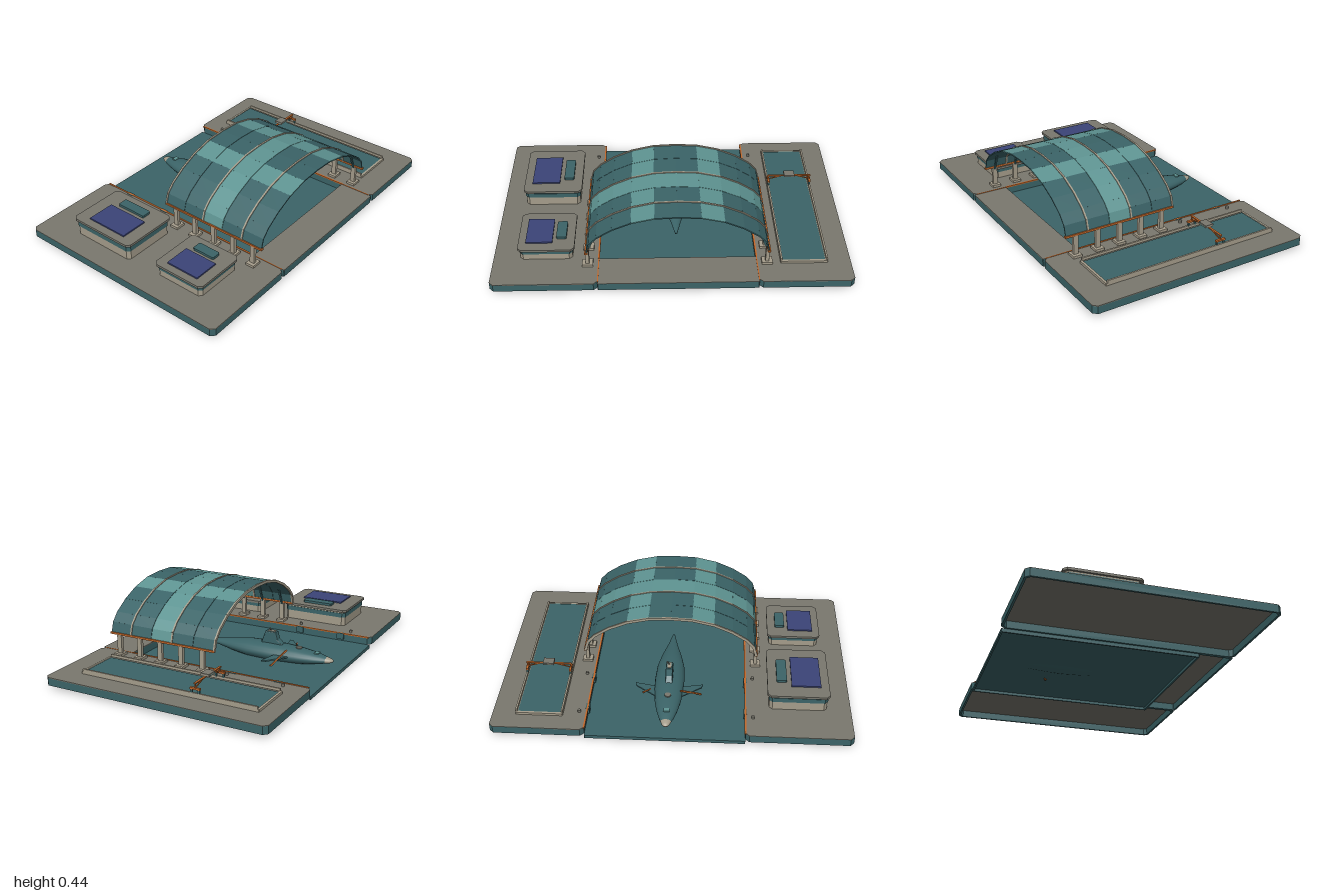
import * as THREE from 'three';

const mat = (name, color, double) => {
  const m = new THREE.MeshStandardMaterial({ color });
  m.name = name;
  if (double) m.side = THREE.DoubleSide;
  return m;
};

export function createModel() {
  const group = new THREE.Group();
  const teal = mat('dark teal', 0x3b6468, true);
  const lightTeal = mat('light teal', 0x5f9593, true);
  const concrete = mat('concrete', 0x7a786e, true);
  const beige = mat('beige', 0xa59d8b);
  const orange = mat('orange', 0xc4692b);
  const blue = mat('panel blue', 0x3b4478);

  const add = (name, geo, material, parent = group) => {
    const m = new THREE.Mesh(geo, material);
    m.name = name;
    parent.add(m);
    return m;
  };
  // Box given by its limits
  const box = (name, material, x0, x1, y0, y1, z0, z1, parent = group) => {
    const m = add(name, new THREE.BoxGeometry(x1 - x0, y1 - y0, z1 - z0), material, parent);
    m.position.set((x0 + x1) / 2, (y0 + y1) / 2, (z0 + z1) / 2);
    return m;
  };
  // Thin bar between two points
  const bar = (name, material, a, b, t, parent = group) => {
    const p = new THREE.Vector3(...a), q = new THREE.Vector3(...b);
    const m = add(name, new THREE.BoxGeometry(t, t, p.distanceTo(q)), material, parent);
    m.position.copy(p).add(q).multiplyScalar(0.5);
    m.lookAt(q);
    return m;
  };
  // Plan outline with cut corners
  const outline = (x0, x1, z0, z1, c) => [
    [x0 + c, z0], [x1 - c, z0], [x1, z0 + c], [x1, z1 - c],
    [x1 - c, z1], [x0 + c, z1], [x0, z1 - c], [x0, z0 + c],
  ].map(([x, z]) => new THREE.Vector2(x, -z));
  const plate = (name, material, x0, x1, y0, y1, z0, z1, c, wall, parent = group) => {
    const shape = new THREE.Shape(outline(x0, x1, z0, z1, c));
    if (wall) shape.holes.push(new THREE.Path(outline(x0 + wall, x1 - wall, z0 + wall, z1 - wall, c * 0.8)));
    const geo = new THREE.ExtrudeGeometry(shape, { depth: y1 - y0, bevelEnabled: false });
    geo.rotateX(-Math.PI / 2);
    const m = add(name, geo, material, parent);
    m.position.y = y0;
    return m;
  };

  // Ground slabs: teal rim below a thin concrete deck
  const slabs = [
    ['rightSlab', -1, -0.41, -0.665, 0.665],
    ['leftSlab', 0.475, 1, -0.665, 0.665],
    ['frontApron', -0.41, 0.475, 0.46, 0.665],
  ];
  for (const [name, x0, x1, z0, z1] of slabs) {
    const c = name === 'frontApron' ? 0.004 : 0.022;
    plate(name + 'Rim', teal, x0, x1, 0.02, 0.063, z0, z1, c, 0.012);
    plate(name + 'Deck', concrete, x0, x1, 0.061, 0.066, z0, z1, c);
  }

  // Basin with water sheet and low skirt
  plate('basinSkirt', teal, -0.41, 0.475, 0, 0.02, -0.66, 0.46, 0.002, 0.01);
  box('water', teal, -0.41, 0.475, 0.016, 0.02, -0.66, 0.46);
  for (const [x, s] of [[-0.41, -1], [0.475, 1]]) {
    box('quayStripe', orange, x - 0.005, x + 0.005, 0.062, 0.069, -0.65, 0.46);
    box('apronStripe', orange, x - 0.003, x + 0.003, 0.062, 0.068, 0.46, 0.65);
    for (const z of [-0.47, -0.2]) {
      box('fender', teal, x - 0.01, x + 0.01, 0.03, 0.068, z - 0.022, z + 0.022);
    }
    for (const z of [-0.52, -0.185]) {
      const b = add('bollard', new THREE.CylinderGeometry(0.009, 0.009, 0.015, 10), concrete);
      b.position.set(x + s * 0.042, 0.073, z);
    }
  }

  // Arched roof: five bays of flat panels
  const cx = 0.03, zBack = -0.115, bay = 0.135;
  const half = [[0.5, 0.19], [0.483, 0.25], [0.44, 0.297], [0.355, 0.352], [0.25, 0.398], [0.125, 0.427]];
  const arch = [
    ...half.map(([x, y]) => [-x, y]), [0, 0.433], ...half.slice().reverse(),
  ];
  const segment = (i, z0, z1, t, lift) => {
    const [ax, ay] = arch[i], [bx, by] = arch[i + 1];
    const g = new THREE.BoxGeometry(Math.hypot(bx - ax, by - ay) + 0.002, t, z1 - z0);
    g.translate(0, lift, 0);
    g.rotateZ(Math.atan2(by - ay, bx - ax));
    g.translate(cx + (ax + bx) / 2, (ay + by) / 2, (z0 + z1) / 2);
    return g;
  };
  const roof = new THREE.Group();
  roof.name = 'archedRoof';
  group.add(roof);
  for (let k = 0; k < 5; k++) {
    for (let i = 0; i < arch.length - 1; i++) {
      const bright = k === 2 || i === 4 || i === 7;
      const z0 = zBack + k * bay;
      add('roofPanel', segment(i, z0, z0 + bay - 0.002, 0.007, 0), bright ? lightTeal : teal, roof);
    }
  }
  for (const z of [zBack, zBack + 2 * bay, zBack + 4 * bay]) {
    for (let i = 0; i < arch.length - 1; i++) {
      add('roofRib', segment(i, z - 0.005, z + 0.005, 0.016, 0), beige, roof);
    }
  }

  // Sills, columns, feet and braces on both sides
  for (const s of [-1, 1]) {
    const x = cx + s * 0.5;
    box('roofSill', orange, x - 0.009, x + 0.009, 0.186, 0.197, zBack - 0.003, 0.563);
    for (let k = 0; k < 5; k++) {
      const z = -0.042 + k * 0.136;
      box('column', beige, x - 0.01, x + 0.01, 0.066, 0.188, z - 0.014, z + 0.014);
      box('columnFoot', beige, x - 0.03, x + 0.03, 0.066, 0.08, z - 0.026, z + 0.026);
      bar('brace', teal, [x - s * 0.008, 0.18, z], [x - s * 0.055, 0.285, z], 0.01);
    }
  }

  // Service buildings with roof panels
  const shed = (name, x0, x1, z0, z1, top, solar, unit) => {
    const g = new THREE.Group();
    g.name = name;
    group.add(g);
    const h = top - 0.066;
    plate('walls', beige, x0 + 0.012, x1 - 0.012, 0.066, top - 0.01, z0 + 0.012, z1 - 0.012, 0.018, 0, g);
    plate('windowBand', teal, x0 + 0.009, x1 - 0.009, 0.066 + h * 0.52, 0.066 + h * 0.78, z0 + 0.009, z1 - 0.009, 0.018, 0, g);
    plate('roofSlab', concrete, x0, x1, top - 0.014, top, z0, z1, 0.02, 0, g);
    box('solarPanel', blue, solar[0], solar[1], top, top + 0.008, solar[2], solar[3], g);
    plate('roofUnit', teal, unit[0], unit[1], top, top + 0.014, unit[2], unit[3], 0.006, 0, g);
  };
  shed('largeBuilding', -0.877, -0.53, -0.45, -0.025, 0.171, [-0.83, -0.665, -0.365, -0.105], [-0.64, -0.582, -0.33, -0.14]);
  shed('smallBuilding', -0.862, -0.545, 0.145, 0.47, 0.141, [-0.82, -0.67, 0.205, 0.41], [-0.65, -0.593, 0.235, 0.375]);

  // Narrow side dock
  const dx0 = 0.605, dx1 = 0.87, dz0 = -0.56, dz1 = 0.52;
  plate('dockRim', beige, dx0, dx1, 0.066, 0.08, dz0, dz1, 0.004, 0.014);
  box('dockPool', teal, dx0 + 0.012, dx1 - 0.012, 0.066, 0.076, dz0 + 0.012, dz1 - 0.012);
  for (const x of [dx0 + 0.005, dx1 - 0.005]) {
    box('dockRail', beige, x - 0.005, x + 0.005, 0.08, 0.094, dz0 + 0.01, dz1 - 0.01);
  }

  // Travelling gantry over the side dock
  const gz = -0.195;
  for (const x of [dx0 + 0.006, dx1 - 0.006]) {
    box('gantryTruck', orange, x - 0.007, x + 0.007, 0.112, 0.122, gz - 0.03, gz + 0.03);
    for (const z of [gz - 0.022, gz + 0.022]) {
      box('gantryLeg', teal, x - 0.005, x + 0.005, 0.09, 0.114, z - 0.005, z + 0.005);
    }
    bar('gantryPost', orange, [x, 0.12, gz], [x, 0.146, gz], 0.006);
    bar('gantryTruss', orange, [x, 0.12, gz], [x + (x < 0.7 ? 0.09 : -0.09), 0.146, gz], 0.005);
  }
  box('gantryBeam', orange, dx0, dx1, 0.143, 0.149, gz - 0.006, gz + 0.006);
  box('gantryTrolley', beige, 0.705, 0.768, 0.149, 0.156, gz - 0.025, gz + 0.025);
  box('trolleyCabin', lightTeal, 0.71, 0.763, 0.152, 0.155, gz - 0.026, gz + 0.026);
  box('trolleyTop', concrete, 0.705, 0.768, 0.156, 0.163, gz - 0.025, gz + 0.025);

  // Submarine facing the back
  const sub = new THREE.Group();
  sub.name = 'submarine';
  sub.position.set(0.03, 0.054, 0);
  group.add(sub);
  const lathe = (name, pts, material) => {
    const g = new THREE.LatheGeometry(pts.map(([r, l]) => new THREE.Vector2(r, l)), 20);
    g.rotateX(-Math.PI / 2);
    g.scale(1, 0.61, 1);
    add(name, g, material, sub);
  };
  lathe('hull', [[0.006, -0.24], [0.03, -0.13], [0.06, -0.02], [0.08, 0.08], [0.086, 0.2], [0.084, 0.29],
    [0.075, 0.39], [0.06, 0.47], [0.043, 0.53], [0.03, 0.562]], teal);
  lathe('noseCap', [[0.03, 0.562], [0.022, 0.585], [0.011, 0.6], [0, 0.604]], beige);
  // Sail with a raked front
  const sail = new THREE.Shape([[0.155, 0.04], [0.295, 0.04], [0.255, 0.075], [0.245, 0.115], [0.185, 0.115]]
    .map(([l, y]) => new THREE.Vector2(l, y)));
  const sailGeo = new THREE.ExtrudeGeometry(sail, {
    depth: 0.026, bevelEnabled: true, bevelSize: 0.005, bevelThickness: 0.007, bevelSegments: 2,
  });
  sailGeo.translate(0, 0, -0.013);
  sailGeo.rotateY(Math.PI / 2);
  add('sail', sailGeo, teal, sub);
  box('sailHatch', beige, -0.011, 0.011, 0.119, 0.124, -0.24, -0.195, sub);
  bar('antenna', concrete, [0.004, 0.11, -0.21], [0.004, 0.146, -0.21], 0.006, sub);
  const hatch = add('deckHatch', new THREE.CylinderGeometry(0.018, 0.018, 0.012, 14), concrete, sub);
  hatch.position.set(0, 0.044, -0.39);
  box('deckWindow', lightTeal, -0.017, 0.017, 0.03, 0.037, -0.515, -0.49, sub);
  // Swept fins with orange leading edges
  for (const s of [-1, 1]) {
    const fin = new THREE.Shape([[0.06, 0.365], [0.19, 0.268], [0.195, 0.243], [0.07, 0.27]]
      .map(([x, l]) => new THREE.Vector2(s * x, l)));
    const g = new THREE.ExtrudeGeometry(fin, { depth: 0.008, bevelEnabled: false });
    g.rotateX(-Math.PI / 2);
    add('fin', g, teal, sub);
    bar('finEdge', orange, [s * 0.07, 0.006, -0.36], [s * 0.188, 0.006, -0.27], 0.008, sub);
  }
  return group;
}
